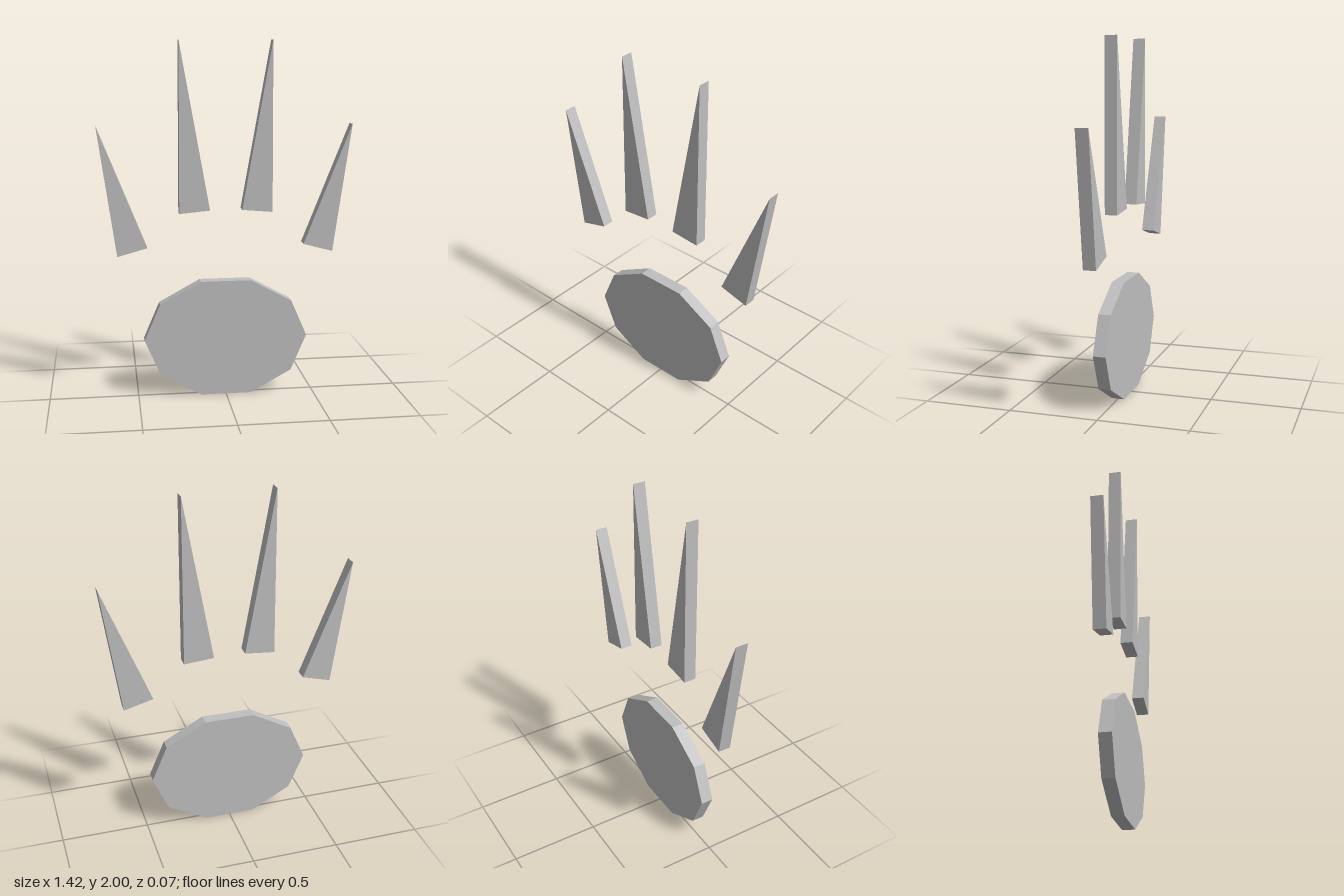
import * as THREE from 'three';

const DEPTH = 0.07;

export function createModel() {
  const group = new THREE.Group();
  const grey = new THREE.MeshStandardMaterial({ color: 0xbfbfbf });
  grey.name = 'light grey';

  // Extrudes a flat outline into a plate centred on z = 0
  const addPlate = (name, points) => {
    const shape = new THREE.Shape(points.map(([x, y]) => new THREE.Vector2(x, y)));
    const geometry = new THREE.ExtrudeGeometry(shape, { depth: DEPTH, bevelEnabled: false });
    geometry.translate(0, 0, -DEPTH / 2);
    const mesh = new THREE.Mesh(geometry, grey);
    mesh.name = name;
    group.add(mesh);
  };

  // Ten-sided oval pad
  const pad = [];
  for (let i = 0; i < 10; i++) {
    const a = (i / 10) * Math.PI * 2;
    pad.push([0.463 * Math.cos(a), 0.333 + 0.35 * Math.sin(a)]);
  }
  addPlate('pad', pad);

  // Pointed claws, mirrored: inner base, outer base, tip
  const claws = {
    InnerClaw: [[0.09, 1.07], [0.261, 1.055], [0.257, 2]],
    OuterClaw: [[0.44, 0.867], [0.606, 0.822], [0.708, 1.541]],
  };
  for (const [name, points] of Object.entries(claws)) {
    addPlate('left' + name, points);
    addPlate('right' + name, points.map(([x, y]) => [-x, y]));
  }

  return group;
}
